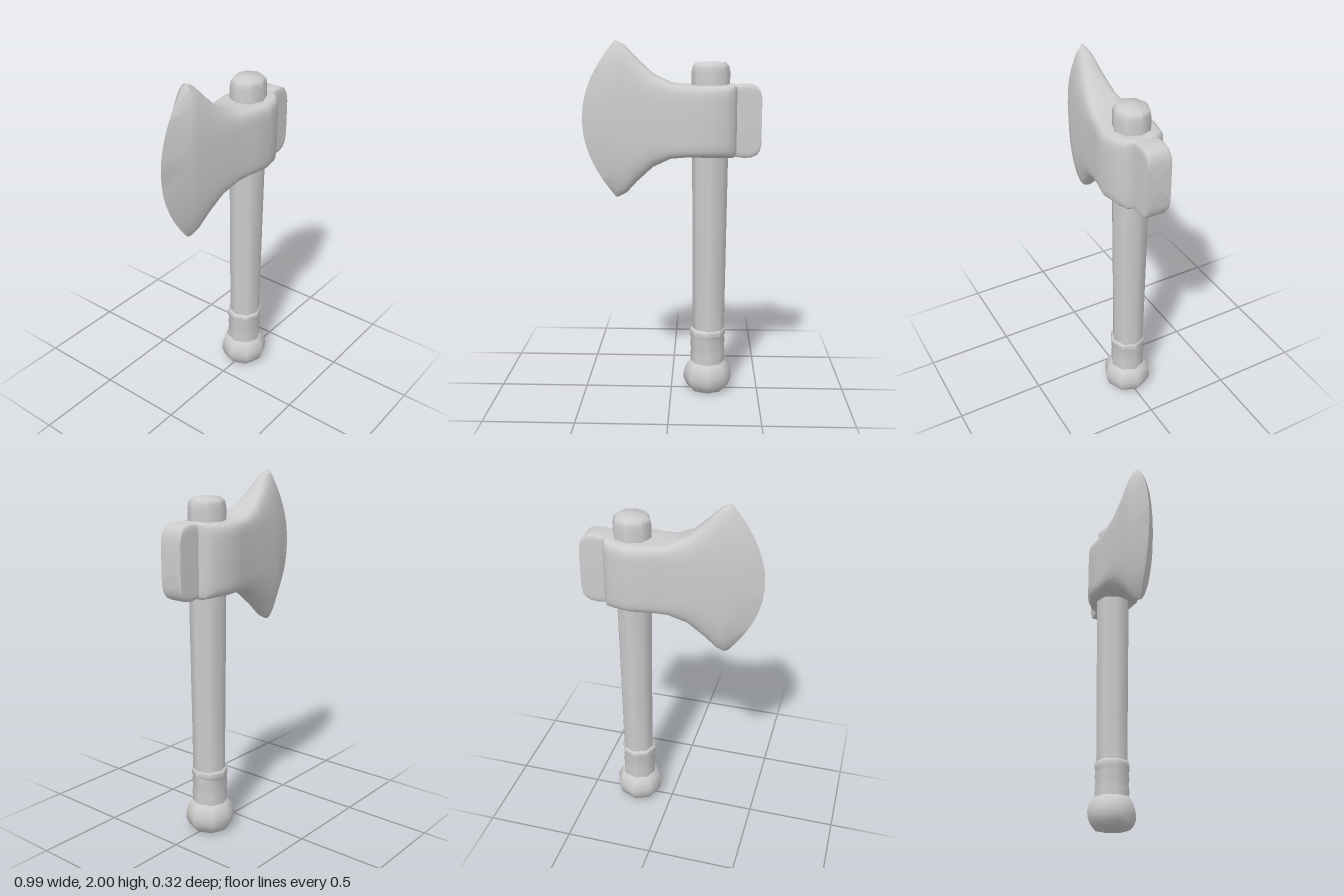
import * as THREE from 'three';
import { toCreasedNormals } from 'three/addons/utils/BufferGeometryUtils.js';

const HEAD_Y = 1.57;
const SHAFT_X = 0.215;

// Head stations from cutting edge to poll:
// x at mid height, x at top and bottom, half height, half thickness, squareness
const BLADE = [
  [-0.497, -0.31, 0.43, 0.001, 2.4],
  [-0.36, -0.295, 0.428, 0.066, 2.4],
  [-0.3, -0.25, 0.405, 0.075, 2.8],
  [-0.22, -0.19, 0.34, 0.088, 3.2],
  [-0.1, -0.1, 0.255, 0.105, 4],
  [0, 0, 0.205, 0.121, 6],
  [0.08, 0.08, 0.196, 0.135, 7],
  [0.195, 0.195, 0.194, 0.16, 7],
  [0.3, 0.3, 0.196, 0.135, 7],
  [0.338, 0.338, 0.2, 0.112, 7],
  [0.358, 0.358, 0.192, 0.07, 8],
];
const POLL = [
  [0.33, 0.33, 0.19, 0.067, 12],
  [0.4, 0.4, 0.2, 0.067, 12],
  [0.44, 0.44, 0.197, 0.067, 12],
  [0.47, 0.47, 0.183, 0.067, 12],
  [0.486, 0.486, 0.16, 0.067, 12],
  [0.493, 0.493, 0.125, 0.067, 12],
];

// Skins superellipse cross-sections and closes both ends
function loft(stations, sides = 40) {
  const pos = [], index = [];
  const power = (v, n) => Math.sign(v) * Math.abs(v) ** (2 / n);
  for (const [mid, tip, h, t, n] of stations) {
    for (let i = 0; i < sides; i++) {
      const a = (i / sides) * Math.PI * 2;
      const v = power(Math.cos(a), n);
      pos.push(mid + (tip - mid) * v * v, HEAD_Y + h * v, t * power(Math.sin(a), n));
    }
  }
  const last = stations.length - 1;
  for (let s = 0; s < last; s++) {
    for (let i = 0; i < sides; i++) {
      const j = (i + 1) % sides, a = s * sides, b = a + sides;
      index.push(a + i, a + j, b + i, a + j, b + j, b + i);
    }
  }
  for (const s of [0, last]) {
    const c = pos.length / 3, base = s * sides;
    pos.push(stations[s][0], HEAD_Y, 0);
    for (let i = 0; i < sides; i++) {
      const j = (i + 1) % sides;
      if (s) index.push(c, base + i, base + j);
      else index.push(c, base + j, base + i);
    }
  }
  const g = new THREE.BufferGeometry();
  g.setAttribute('position', new THREE.Float32BufferAttribute(pos, 3));
  g.setIndex(index);
  return g;
}

// Turned eight-sided part from [radius, y] points
function turned(points) {
  return new THREE.LatheGeometry(points.map(([r, y]) => new THREE.Vector2(r, y)), 8);
}

export function createModel() {
  const group = new THREE.Group();
  const grey = new THREE.MeshStandardMaterial({ name: 'plainGrey', color: 0xcccccc });

  const add = (name, geometry, x = 0, crease = 0.9) => {
    const mesh = new THREE.Mesh(toCreasedNormals(geometry, crease), grey);
    mesh.name = name;
    mesh.position.x = x;
    group.add(mesh);
    return mesh;
  };

  // Axe head
  add('blade', loft(BLADE), 0, 0.65);
  add('poll', loft(POLL), 0, 0.75);

  // Handle
  add('shaft', turned([[0.09, 0.3], [0.092, 0.6], [0.1, 1.4], [0.1, 1.7]]), SHAFT_X);
  add('shaftTop', turned([
    [0.104, 1.7], [0.106, 1.83], [0.1, 1.865], [0.08, 1.885], [0, 1.89],
  ]), SHAFT_X).scale.z = 0.92;

  // Wrapped grip: overlapping bands, each ring slightly tilted
  const wrap = turned([
    [0.09, 0.375], [0.102, 0.365], [0.102, 0.335], [0.096, 0.32], [0.1, 0.28],
    [0.095, 0.26], [0.1, 0.22], [0.098, 0.19], [0.1, 0.15],
  ].reverse());
  const p = wrap.attributes.position;
  for (let i = 0; i < p.count; i++) {
    const y = p.getY(i);
    if (y > 0.2 && y < 0.33) p.setY(i, y + p.getX(i) * 0.12);
  }
  add('gripWrap', wrap, 0.21);

  // Pommel
  add('pommel', turned([
    [0, 0], [0.1, 0.003], [0.122, 0.025], [0.137, 0.06], [0.138, 0.095],
    [0.128, 0.135], [0.11, 0.162], [0.09, 0.18],
  ]), 0.21);

  return group;
}
